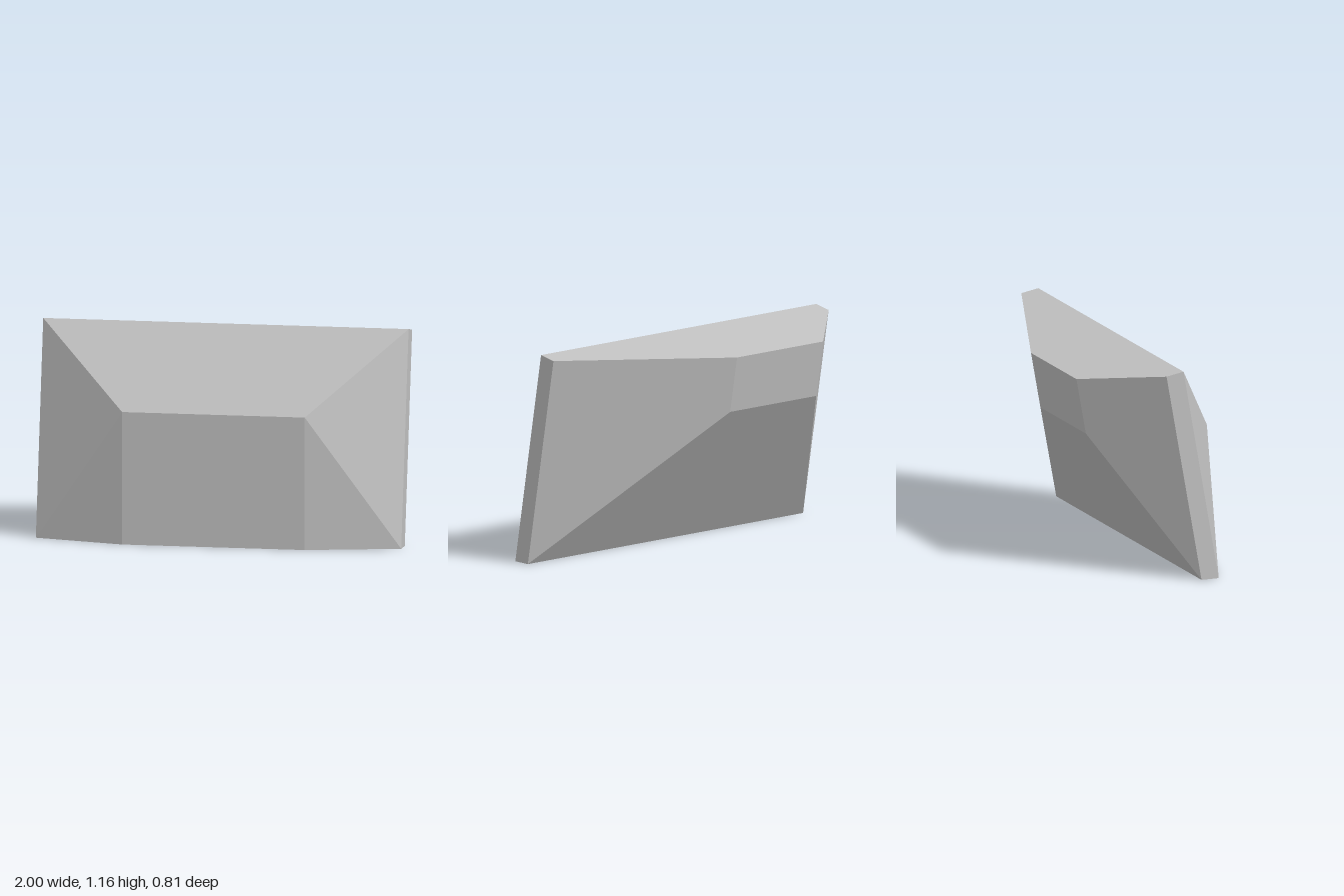
import * as THREE from 'three';
import { ConvexGeometry } from 'three/addons/geometries/ConvexGeometry.js';

export function createModel() {
  const model = new THREE.Group();
  model.name = 'facetedBlock';
  const grey = new THREE.MeshStandardMaterial({ color: 0xc0c0c0 });
  grey.name = 'grey';

  const points = [];
  const row = (x1, x2, y, z) => {
    for (const x of [x1, x2]) points.push(new THREE.Vector3(x, y, z));
  };

  // Leaning slab rim, front and back edges
  row(-1, 1, 0, 0.264);
  row(-1, 1, 1.163, 0.059);
  row(-1, 1, 0, 0.164);
  row(-1, 1, 1.145, -0.04);

  // Upright front panel
  row(-0.5, 0.5, 0, 0.407);
  row(-0.5, 0.5, 0.72, 0.407);

  // Off-centre plateau on the back
  row(-0.625, 0, 1.081, -0.407);
  row(-0.625, 0, 0.774, -0.352);

  const body = new THREE.Mesh(new ConvexGeometry(points), grey);
  body.name = 'body';
  model.add(body);
  return model;
}
